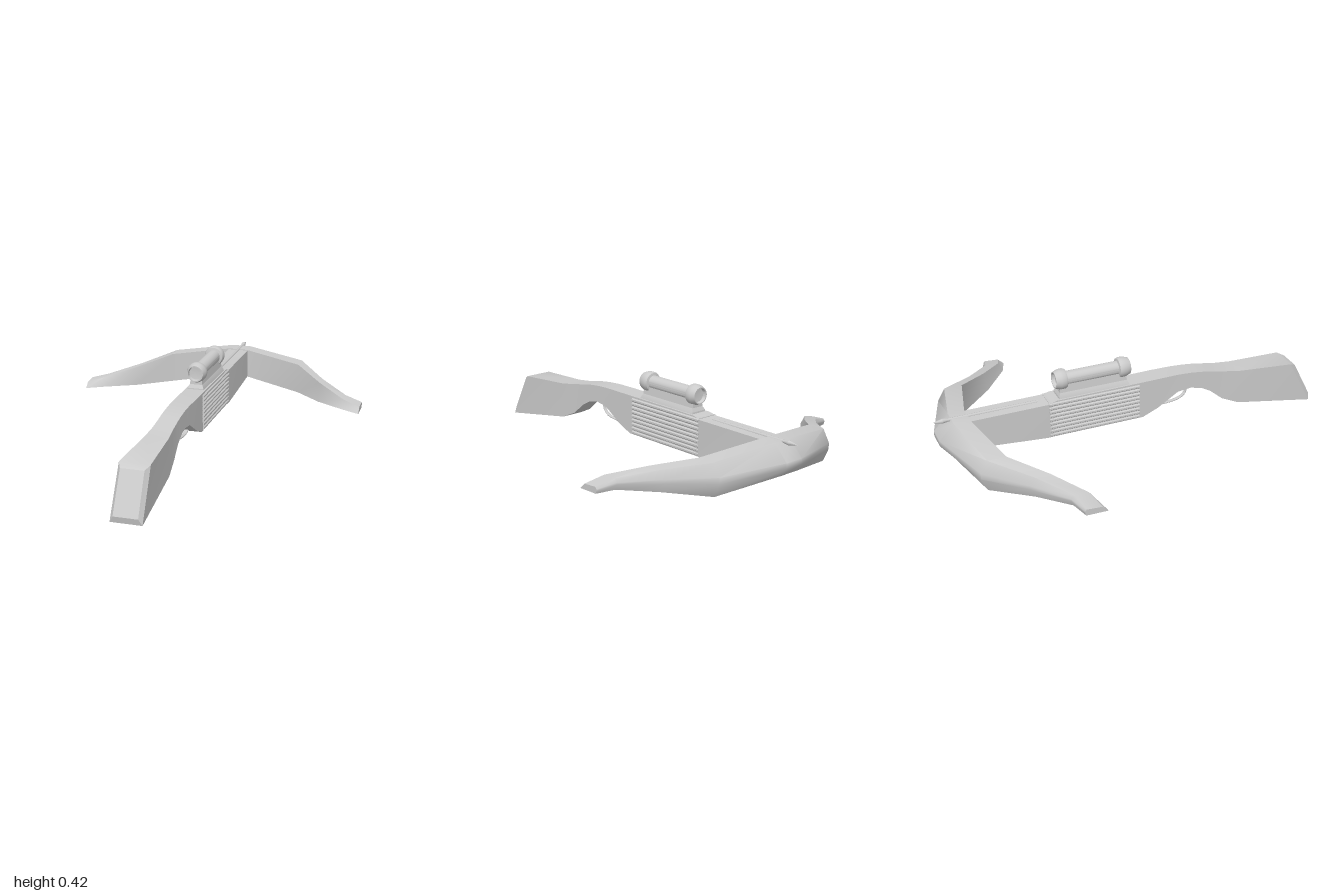
import * as THREE from 'three';
import { toCreasedNormals } from 'three/addons/utils/BufferGeometryUtils.js';

const material = new THREE.MeshStandardMaterial({ color: 0xcccccc });

function add(parent, name, geometry) {
  const mesh = new THREE.Mesh(geometry, material);
  mesh.name = name;
  parent.add(mesh);
  return mesh;
}

// Skin a row of closed rings (arrays of [x, y, z]) and cap both ends;
// each ring runs counterclockwise as seen from outside the first cap
function loft(rings, crease) {
  const out = [];
  const tri = (...points) => points.forEach((p) => out.push(...p));
  const n = rings[0].length;
  const middle = (ring) => [0, 1, 2].map((k) => ring.reduce((s, p) => s + p[k], 0) / n);
  const first = rings[0], last = rings[rings.length - 1];
  const c0 = middle(first), c1 = middle(last);
  for (let j = 0; j < n; j++) {
    const k = (j + 1) % n;
    for (let i = 0; i < rings.length - 1; i++) {
      const a = rings[i][j], b = rings[i][k], c = rings[i + 1][k], d = rings[i + 1][j];
      tri(a, d, c);
      tri(a, c, b);
    }
    tri(c0, first[j], first[k]);
    tri(c1, last[k], last[j]);
  }
  const geometry = new THREE.BufferGeometry();
  geometry.setAttribute('position', new THREE.Float32BufferAttribute(out, 3));
  geometry.computeVertexNormals();
  return toCreasedNormals(geometry, crease);
}

// Four-cornered section between a top and a bottom point, a little wider below
function stockRing([zTop, yTop, zBottom, yBottom, w]) {
  const low = w + 0.002;
  return [[low, yBottom, zBottom], [w, yTop, zTop], [-w, yTop, zTop], [-low, yBottom, zBottom]];
}

export function createModel() {
  const model = new THREE.Group();
  model.name = 'crossbow';

  // Stock from the butt plate to the fore-end: zTop, yTop, zBottom, yBottom, half width
  const stock = [
    [0.905, 0.218, 1.0, 0.032, 0.056],
    [0.87, 0.235, 0.993, 0.002, 0.073],
    [0.58, 0.25, 0.58, 0.068, 0.057],
    [0.49, 0.263, 0.49, 0.108, 0.05],
    [0.42, 0.276, 0.42, 0.167, 0.048],
    [0.37, 0.285, 0.37, 0.194, 0.048],
    [0.31, 0.292, 0.31, 0.208, 0.048],
    [0.24, 0.296, 0.24, 0.2, 0.049],
    [0.13, 0.296, 0.13, 0.134, 0.051],
    [0.05, 0.295, 0.05, 0.1, 0.051],
    [-0.4, 0.292, -0.4, 0.099, 0.051],
    [-0.45, 0.281, -0.45, 0.1, 0.055],
    [-0.87, 0.279, -0.87, 0.135, 0.055],
  ];
  add(model, 'stock', loft(stock.map(stockRing), 0.45));

  // Grip ribs: bevelled slats standing out on both flanks
  const ribs = new THREE.Group();
  ribs.name = 'gripRibs';
  model.add(ribs);
  const ribRing = (z) => [
    [0.052, -0.0095, z], [0.058, -0.004, z], [0.058, 0.004, z], [0.052, 0.0095, z],
    [-0.052, 0.0095, z], [-0.058, 0.004, z], [-0.058, -0.004, z], [-0.052, -0.0095, z],
  ];
  for (let i = 0; i < 9; i++) {
    const rib = add(ribs, 'gripRib', loft([ribRing(0.03), ribRing(-0.44)], 0.3));
    rib.position.y = 0.11 + i * 0.0208;
  }

  // Bow: x, then [z, y] of inner bottom, inner top, ridge, rounded nose and front bottom
  const limb = [
    [0.05, [-0.83, 0.13], [-0.83, 0.283], [-0.91, 0.283], [-0.983, 0.205], [-0.983, 0.178], [-0.945, 0.135]],
    [0.36, [-0.755, 0.088], [-0.755, 0.245], [-0.845, 0.245], [-0.88, 0.185], [-0.88, 0.155], [-0.85, 0.09]],
    [0.51, [-0.58, 0.103], [-0.6, 0.203], [-0.675, 0.203], [-0.7, 0.165], [-0.7, 0.145], [-0.675, 0.101]],
    [0.66, [-0.45, 0.117], [-0.475, 0.164], [-0.545, 0.166], [-0.56, 0.15], [-0.56, 0.14], [-0.55, 0.115]],
    [0.75, [-0.42, 0.11], [-0.45, 0.138], [-0.523, 0.143], [-0.53, 0.133], [-0.53, 0.126], [-0.525, 0.112]],
  ];
  const bowRing = (side) => ([x, ...points]) => points.map(([z, y]) => [side * x, y, z]);
  const bow = [...limb.map(bowRing(-1)).reverse(), ...limb.map(bowRing(1))];
  add(model, 'bow', loft(bow, 0.8));

  // Scope: tube with tapered, hollowed end bells
  const half = [
    [0, 0.172], [0.033, 0.176], [0.036, 0.193], [0.041, 0.193],
    [0.05, 0.168], [0.05, 0.145], [0.046, 0.136], [0.034, 0.133],
  ];
  const profile = [
    ...half.map(([r, z]) => new THREE.Vector2(r, -z)),
    ...half.map(([r, z]) => new THREE.Vector2(r, z)).reverse(),
  ];
  const tube = new THREE.LatheGeometry(profile, 24).rotateX(Math.PI / 2);
  add(model, 'scope', toCreasedNormals(tube, 0.5)).position.set(0, 0.377, -0.202);

  // Scope mount, flared toward its foot
  const mountRing = ([y, w, z0, z1]) => [[w, y, z0], [w, y, z1], [-w, y, z1], [-w, y, z0]];
  const mount = [
    [0.28, 0.045, -0.386, -0.018],
    [0.3, 0.041, -0.384, -0.02],
    [0.318, 0.032, -0.376, -0.029],
    [0.36, 0.027, -0.374, -0.031],
  ];
  add(model, 'scopeMount', loft(mount.map(mountRing), 0.3));

  // Trigger guard: flattened loop under the grip
  const guardPath = new THREE.CatmullRomCurve3(
    [[0.215, 0.305], [0.165, 0.303], [0.138, 0.275], [0.125, 0.21], [0.126, 0.15], [0.145, 0.11]]
      .map(([y, z]) => new THREE.Vector3(0, y, z)),
  );
  add(model, 'triggerGuard', new THREE.TubeGeometry(guardPath, 24, 0.005, 8).scale(2, 1, 1));

  // Bolt lying along the top of the fore-end
  const bolt = new THREE.Group();
  bolt.name = 'bolt';
  bolt.position.y = 0.28;
  model.add(bolt);
  const rod = (name, rFront, rBack, zFront, zBack) => {
    const geometry = new THREE.CylinderGeometry(rFront, rBack, zBack - zFront, 10);
    add(bolt, name, geometry.rotateX(-Math.PI / 2)).position.z = (zFront + zBack) / 2;
  };
  rod('boltShaft', 0.008, 0.008, -0.94, -0.48);
  rod('boltHeadBase', 0.012, 0.008, -0.95, -0.925);
  rod('boltTip', 0, 0.012, -1.0, -0.95);

  return model;
}
